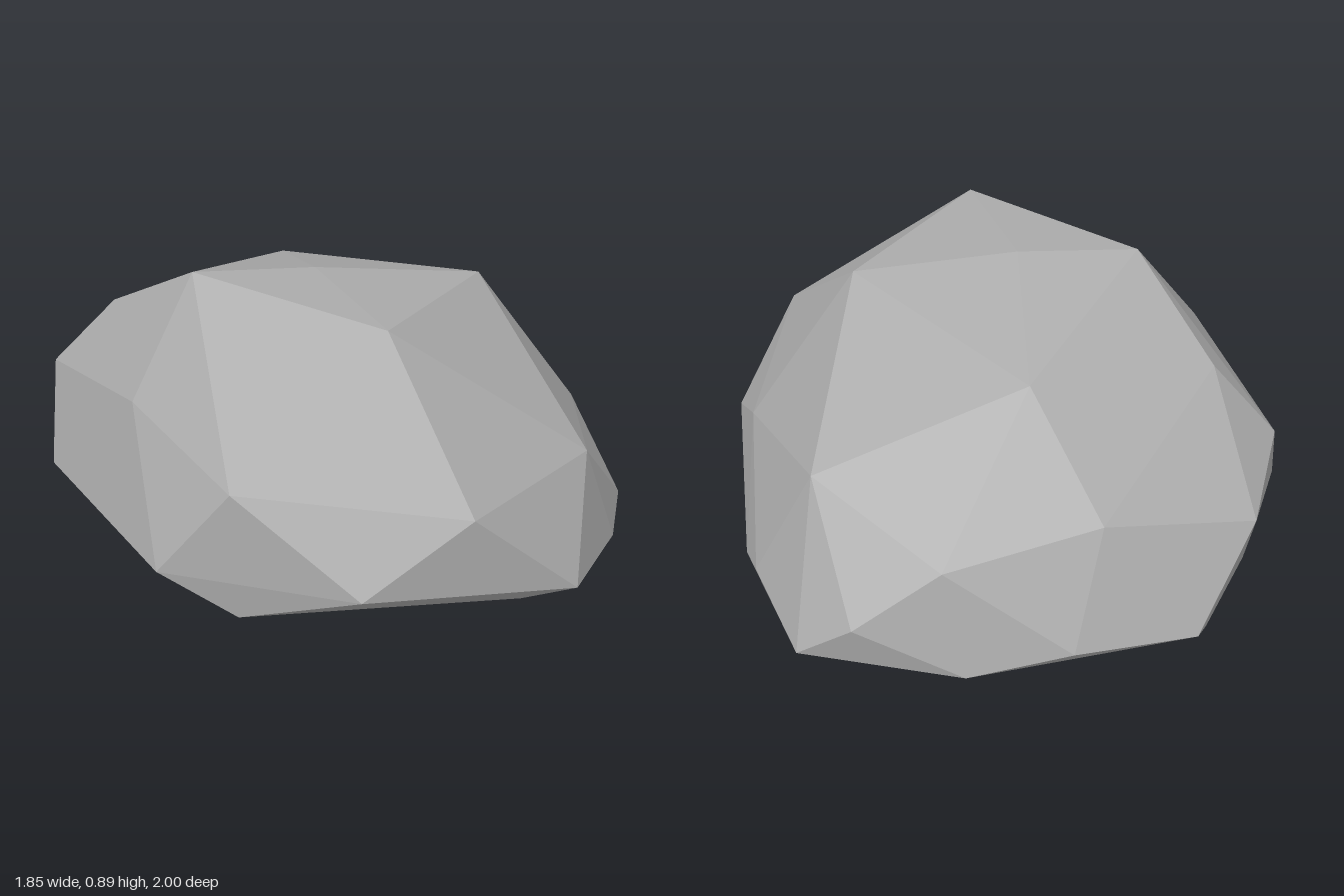
import * as THREE from 'three';
import { ConvexGeometry } from 'three/addons/geometries/ConvexGeometry.js';

// Corners of the boulder, grouped by height
const crown = [
  [-0.45, 0.893, 0.15], [0.12, 0.865, 0.585], [0.475, 0.825, 0.08],
  [-0.06, 0.885, 0.13], [-0.12, 0.715, -0.41], [-0.70, 0.66, -0.18],
];
const flanks = [
  [0.545, 0.515, -0.64], [-0.905, 0.435, -0.21], [-0.655, 0.54, 0.34],
  [-0.38, 0.46, 0.83], [0.35, 0.375, 0.905], [0.75, 0.425, 0.585],
  [0.82, 0.32, -0.01], [0.125, 0.36, -0.915], [-0.36, 0.43, -0.75],
  [-0.835, 0.34, -0.57],
];
const skirt = [
  [-0.925, 0.145, -0.02], [-0.605, 0.165, 0.755], [0, 0.165, 1],
  [0.69, 0.075, 0.825], [0.87, 0.065, 0.5], [0.92, 0.13, 0.33],
  [0.745, 0.105, -0.585], [0.58, 0.035, -0.91], [0.40, 0.17, -0.965],
  [0.05, 0.03, -1], [-0.28, 0.10, -0.96], [-0.66, 0.07, -0.815],
];
const base = [
  [-0.82, 0.02, -0.34], [-0.69, 0.02, -0.70], [-0.36, 0.04, 0.84],
  [0.52, 0.025, 0.79], [0.81, 0.008, -0.37], [0.55, 0, -0.74],
];

export function createModel() {
  const group = new THREE.Group();
  group.name = 'rock';

  const stone = new THREE.MeshStandardMaterial({ color: 0xaaaaaa, flatShading: true });
  stone.name = 'grey stone';

  // Faceted boulder wrapped around its corners
  const corners = [...crown, ...flanks, ...skirt, ...base].map((p) => new THREE.Vector3(...p));
  const boulder = new THREE.Mesh(new ConvexGeometry(corners), stone);
  boulder.name = 'boulder';
  group.add(boulder);
  return group;
}
